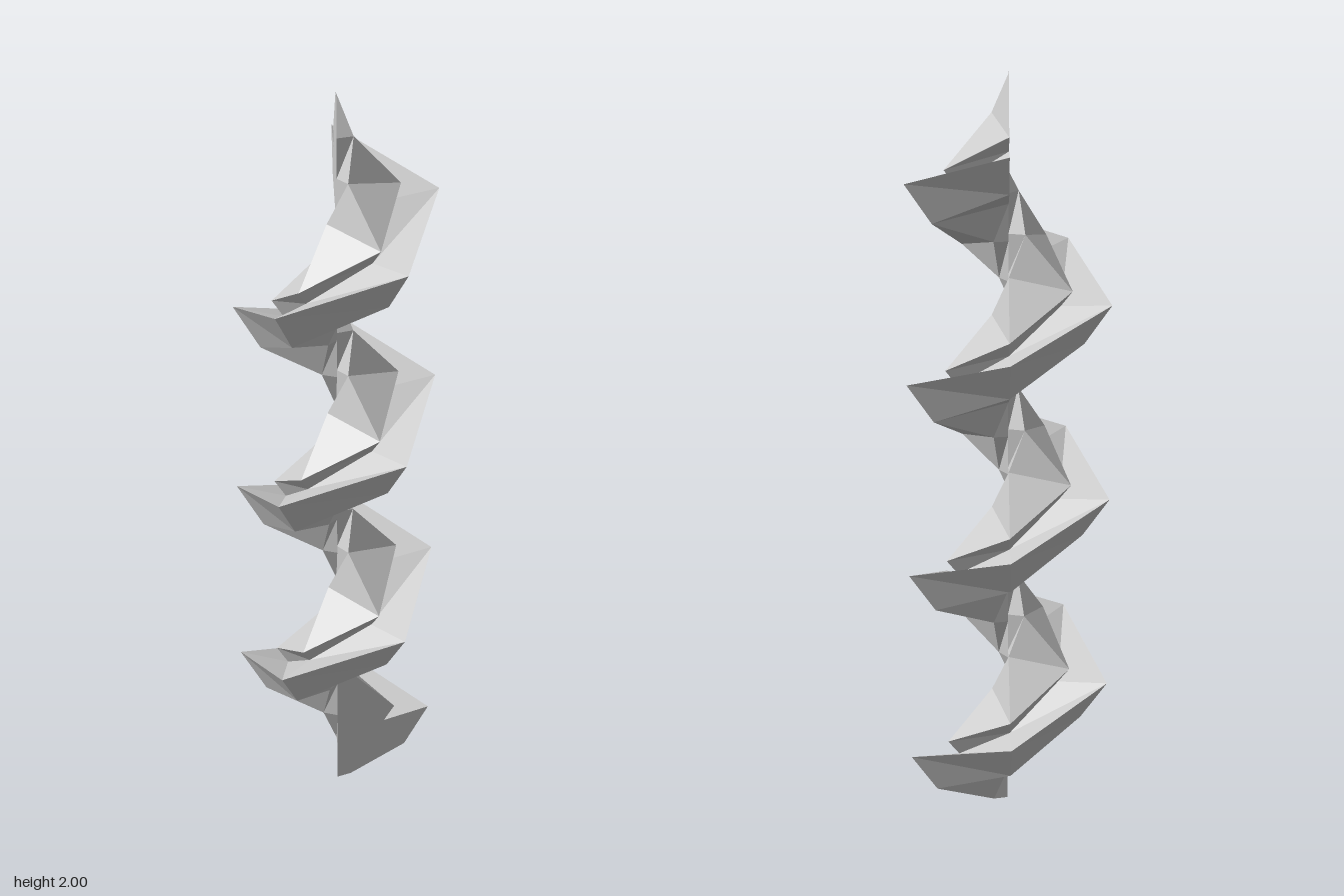
import * as THREE from 'three';

// Half section of the thread: [radius, height], counter-clockwise from the axis
const PROFILE = [
  [0, 0], [0.04, 0.002], [0.203, 0.06], [0.275, 0.166],
  [0.14, 0.155], [0.171, 0.195], [0.045, 0.333], [0, 0.333],
];
const STEPS = 16;
const TURN = THREE.MathUtils.degToRad(71.9);
const RISE = (2 - 0.333) / STEPS;
const AXIS_X = -0.026;

// Sweeps the half section up and around the axis, five steps to a turn
function screwGeometry() {
  const n = PROFILE.length;
  const positions = [];
  const index = [];
  for (let i = 0; i <= STEPS; i++) {
    const a = i * TURN;
    for (const [r, y] of PROFILE) {
      positions.push(AXIS_X + r * Math.cos(a), y + i * RISE, -r * Math.sin(a));
    }
  }
  // Faces between neighbouring sections; the edge on the axis needs none
  for (let i = 0; i < STEPS; i++) {
    for (let j = 0; j < n - 1; j++) {
      const a = i * n + j, b = a + 1, a2 = a + n, b2 = b + n;
      index.push(a, a2, b, b, a2, b2);
    }
  }
  // Flat caps on the first and last sections
  const outline = PROFILE.map(([r, y]) => new THREE.Vector2(r, y));
  const last = STEPS * n;
  for (const [a, b, c] of THREE.ShapeUtils.triangulateShape(outline, [])) {
    index.push(a, b, c, last + a, last + c, last + b);
  }
  const indexed = new THREE.BufferGeometry();
  indexed.setAttribute('position', new THREE.Float32BufferAttribute(positions, 3));
  indexed.setIndex(index);
  const geometry = indexed.toNonIndexed();
  geometry.computeVertexNormals();
  return geometry;
}

export function createModel() {
  const model = new THREE.Group();
  model.name = 'spiralScrew';
  const material = new THREE.MeshStandardMaterial({ color: 0xcccccc, flatShading: true });
  const thread = new THREE.Mesh(screwGeometry(), material);
  thread.name = 'spiralThread';
  model.add(thread);
  return model;
}
